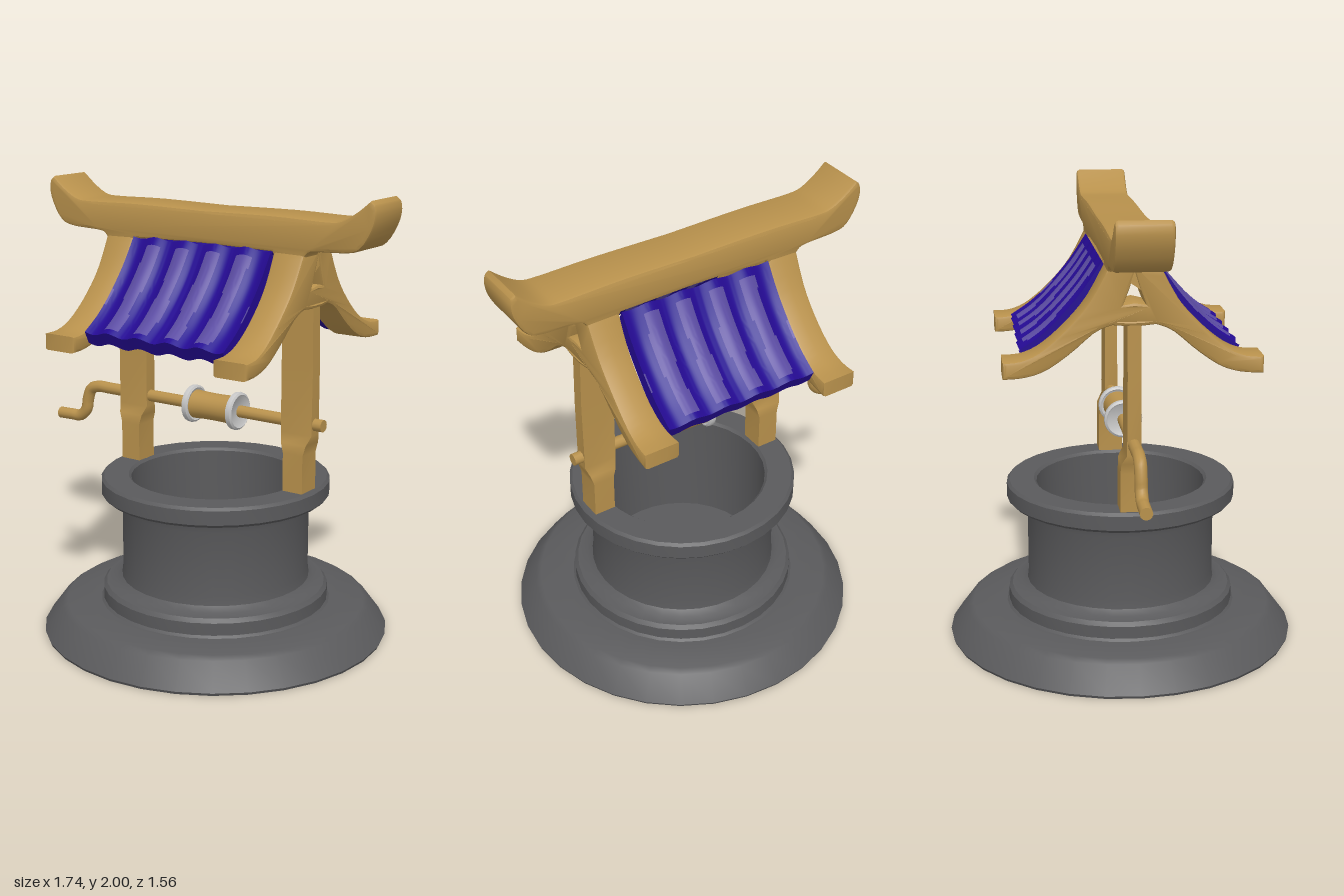
import * as THREE from 'three';
import { toCreasedNormals } from 'three/addons/utils/BufferGeometryUtils.js';

const mat = (name, color) => {
  const m = new THREE.MeshStandardMaterial({ color });
  m.name = name;
  return m;
};
const V2 = (x, y) => new THREE.Vector2(x, y);

export function createModel() {
  const wood = mat('wood', 0xb8914c);
  const stone = mat('stone', 0x5a5a5c);
  const darkBlue = mat('dark blue cloth', 0x240a92);
  const paleBlue = mat('pale blue cloth', 0x5b4ca2);
  const metal = mat('pale metal', 0xc6c6c6);

  const model = new THREE.Group();
  model.name = 'well';
  const body = new THREE.Group();
  body.name = 'wellBody';
  body.position.x = 0.025;
  model.add(body);
  const add = (name, geometry, material) => {
    const mesh = new THREE.Mesh(geometry, material);
    mesh.name = name;
    body.add(mesh);
    return mesh;
  };
  // Move every vertex by a rule
  const warp = (geometry, rule) => {
    const p = geometry.attributes.position, v = new THREE.Vector3();
    for (let i = 0; i < p.count; i++) {
      rule(v.fromBufferAttribute(p, i));
      p.setXYZ(i, v.x, v.y, v.z);
    }
    geometry.computeVertexNormals();
    return geometry;
  };
  // Rounded slab extruded to a total depth, centred on z = 0
  const slab = (shape, depth, steps) => {
    const b = 0.014;
    const g = new THREE.ExtrudeGeometry(shape, {
      depth: depth - 2 * b, steps, curveSegments: 10,
      bevelSize: b, bevelThickness: b, bevelOffset: -b, bevelSegments: 2,
    });
    g.translate(0, 0, b - depth / 2);
    return g;
  };

  // Stone base, wall, rim and hollow shaft
  const wall = [
    [0, 0], [0.775, 0], [0.78, 0.012], [0.7, 0.12], [0.675, 0.136], [0.52, 0.14],
    [0.51, 0.15], [0.51, 0.205], [0.495, 0.222], [0.45, 0.228], [0.425, 0.25],
    [0.42, 0.29], [0.42, 0.58], [0.43, 0.615], [0.45, 0.628], [0.5, 0.632],
    [0.512, 0.645], [0.512, 0.708], [0.5, 0.72], [0.39, 0.72], [0.378, 0.708],
    [0.375, 0.2], [0, 0.2],
  ].map(([x, y]) => V2(x, y));
  add('stoneWell', toCreasedNormals(new THREE.LatheGeometry(wall, 32), 0.7), stone);

  // Posts: thick narrow foot, thin wide upper board
  const rows = [[0.7, 0.049, 0.055], [0.89, 0.049, 0.055], [0.935, 0.062, 0.052],
    [0.975, 0.076, 0.03], [1.3, 0.0775, 0.028], [1.58, 0.072, 0.028]];
  for (const side of [-1, 1]) {
    const post = warp(new THREE.BoxGeometry(2, 5, 2, 1, 5, 1), (v) => {
      const [y, hx, hz] = rows[Math.round(v.y + 2.5)];
      v.set(v.x * hx, y, v.z * hz);
    });
    add(side < 0 ? 'rightPost' : 'leftPost', post, wood).position.x = side * 0.4375;
  }

  // Curved rafter pairs with a small triangular opening at the apex
  const outer = [V2(0.105, 1.77), V2(0.185, 1.625), V2(0.28, 1.515), V2(0.38, 1.43), V2(0.46, 1.394), V2(0.537, 1.388)];
  const inner = [V2(0.537, 1.316), V2(0.45, 1.32), V2(0.36, 1.347), V2(0.26, 1.415), V2(0.16, 1.5), V2(0.09, 1.53)];
  const half = [
    ...new THREE.SplineCurve(outer).getPoints(16),
    ...new THREE.SplineCurve(inner).getPoints(14),
    V2(0.03, 1.525),
  ];
  const rafterShape = new THREE.Shape([...half, ...half.map((p) => V2(-p.x, p.y)).reverse()]);
  rafterShape.holes.push(new THREE.Path([
    V2(0, 1.75), V2(-0.02, 1.68), V2(-0.045, 1.615), V2(0, 1.625), V2(0.045, 1.615), V2(0.02, 1.68),
  ]));
  for (const side of [-1, 1]) {
    const g = warp(slab(rafterShape, 0.164, 2), (v) => {
      const t = Math.min(1, Math.abs(v.x) / 0.53);
      v.z *= 1 - 0.15 * Math.sin(Math.PI * t);
    });
    g.rotateY(-Math.PI / 2);
    add(side < 0 ? 'rightRafters' : 'leftRafters', toCreasedNormals(g, 0.65), wood).position.x = side * 0.4375;
  }

  // Ridge beam with upswept ends and small flares above the rafters
  const beamHalf = [
    ...new THREE.SplineCurve([V2(0, 1.905), V2(0.35, 1.91), V2(0.6, 1.905), V2(0.68, 1.912), V2(0.75, 1.95), V2(0.812, 2.0)]).getPoints(16),
    ...new THREE.SplineCurve([V2(0.83, 1.985), V2(0.838, 1.95), V2(0.825, 1.89), V2(0.78, 1.815), V2(0.72, 1.785),
      V2(0.56, 1.776), V2(0.52, 1.76), V2(0.505, 1.73)]).getPoints(20),
    V2(0.37, 1.73), V2(0.355, 1.76), V2(0, 1.765),
  ];
  const beamShape = new THREE.Shape([...beamHalf, ...beamHalf.slice(1, -1).map((p) => V2(-p.x, p.y)).reverse()]);
  const beam = warp(slab(beamShape, 0.23, 1), (v) => {
    v.z *= 0.95 + 0.06 * Math.min(1, Math.abs(v.x) / 0.8) ** 2;
  });
  add('ridgeBeam', toCreasedNormals(beam, 0.65), wood);

  // Rippled cloth awnings: pale crests, dark folds
  const drape = new THREE.SplineCurve([V2(0.115, 1.765), V2(0.195, 1.645), V2(0.285, 1.54), V2(0.37, 1.46), V2(0.462, 1.398)]);
  const NU = 80, NV = 24, M = 2 * NV + 2;
  const phase = (i) => ((-0.357 + 0.714 * i / NU) / 0.157) * Math.PI * 2;
  const pos = [], dark = [], pale = [];
  for (let i = 0; i <= NU; i++) {
    for (let j = 0; j < M; j++) {
      const under = j > NV;
      const s = (under ? M - 1 - j : j) / NV;
      const p = drape.getPoint(s);
      const r = -0.011 * Math.cos(phase(i)) * (0.3 + 0.7 * Math.sin(Math.PI * Math.min(s + 0.15, 0.75)));
      pos.push(-0.357 + 0.714 * i / NU, p.y + r - (under ? 0.052 : 0), p.x + 0.6 * r - (under ? 0.025 : 0));
    }
  }
  for (let i = 0; i < NU; i++) {
    for (let j = 0; j < M; j++) {
      const a = i * M + j, d = i * M + (j + 1) % M;
      const s = (j > NV ? M - 1 - j : j) / NV;
      const worn = -Math.cos(phase(i + 0.5)) > 0.1 + 0.2 * Math.sin(s * 9 + i * 0.16);
      const bright = worn && s > 0.06 && s < 0.9 && j !== NV;
      (bright ? pale : dark).push(a, d, d + M, a, d + M, a + M);
    }
  }
  for (let j = 0; j < NV; j++) {
    const k = M - 1 - j, e = NU * M;
    dark.push(j, k, k - 1, j, k - 1, j + 1);
    dark.push(e + j, e + k - 1, e + k, e + j, e + j + 1, e + k - 1);
  }
  const cloth = new THREE.BufferGeometry();
  cloth.setAttribute('position', new THREE.Float32BufferAttribute(pos, 3));
  cloth.setIndex([...dark, ...pale]);
  cloth.addGroup(0, dark.length, 0);
  cloth.addGroup(dark.length, pale.length, 1);
  const clothGeometry = toCreasedNormals(cloth, 0.8);
  add('frontCloth', clothGeometry, [darkBlue, paleBlue]);
  add('backCloth', clothGeometry, [darkBlue, paleBlue]).rotation.y = Math.PI;

  // Axle and bent crank handle
  const rod = (name, points, segments) => {
    const path = new THREE.CatmullRomCurve3(points.map(([x, y]) => new THREE.Vector3(x, y, 0)), false, 'centripetal');
    add(name, new THREE.TubeGeometry(path, segments, 0.027, 12), wood);
    for (const [t, dir] of [[0, 1], [1, -1]]) {
      const cap = add(name + 'End', new THREE.CircleGeometry(0.027, 12), wood);
      cap.position.copy(path.getPoint(t));
      cap.rotation.y = dir * Math.PI / 2;
    }
  };
  rod('axleAndCrank', [[0.555, 1.022], [0, 1.022], [-0.6, 1.022], [-0.66, 1.022], [-0.708, 1.005], [-0.73, 0.955],
    [-0.742, 0.9], [-0.78, 0.865], [-0.83, 0.862], [-0.9, 0.86]], 90);

  // Winding drum and its flanges
  const lathe = (name, points, x, material) => {
    const g = new THREE.LatheGeometry(points.map(([r, y]) => V2(r, y)), 24);
    const m = add(name, toCreasedNormals(g, 0.8), material);
    m.rotation.z = -Math.PI / 2;
    m.position.set(x, 1.022, 0);
  };
  lathe('drum', [[0, -0.11], [0.064, -0.11], [0.061, -0.05], [0.06, 0], [0.061, 0.05], [0.064, 0.11], [0, 0.11]], 0, wood);
  for (const side of [-1, 1]) {
    lathe('drumFlange', [[0, -0.012], [0.068, -0.012], [0.074, -0.017], [0.083, -0.011], [0.085, 0],
      [0.083, 0.011], [0.074, 0.017], [0.068, 0.012], [0, 0.012]], side * 0.117, metal);
  }
  return model;
}
